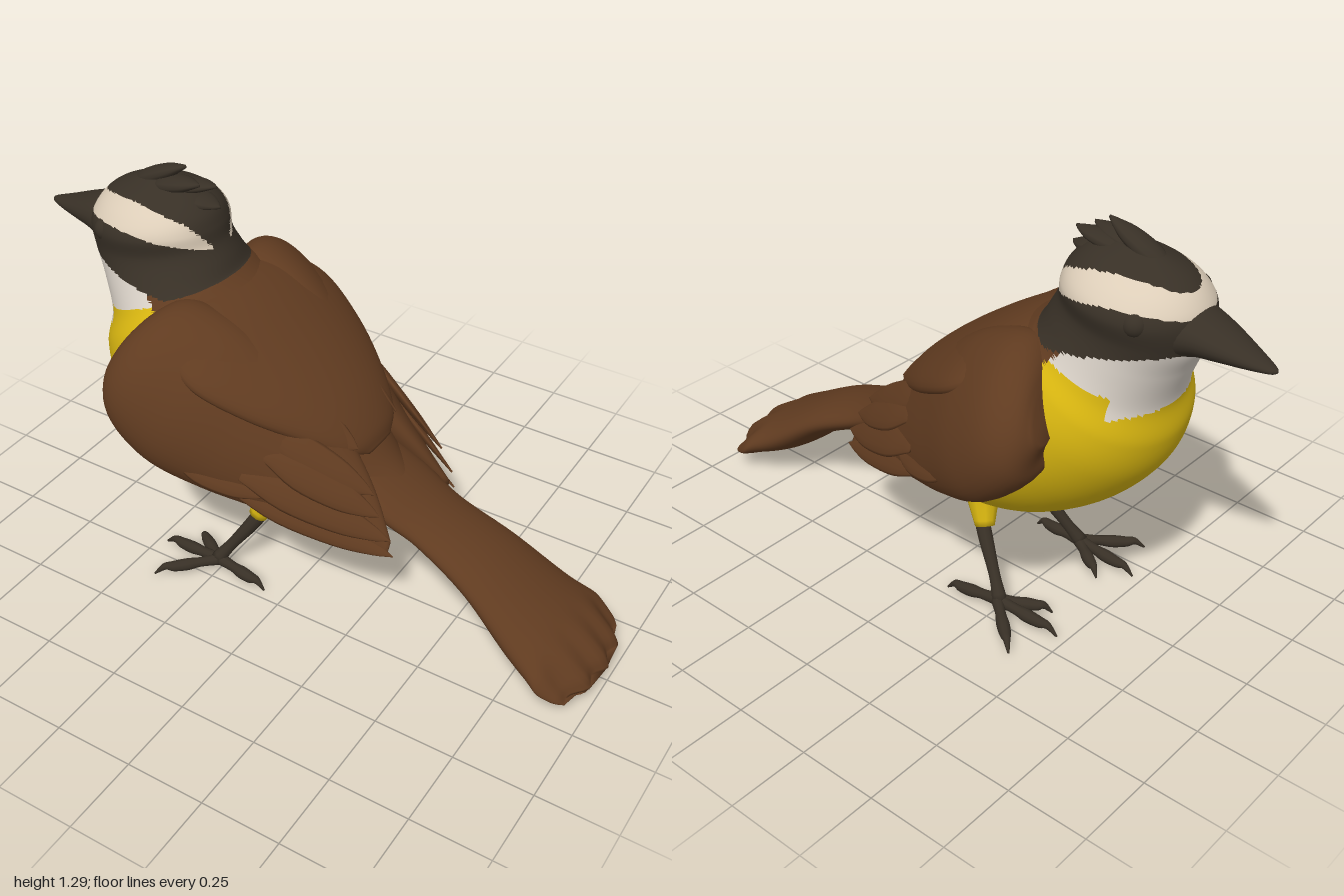
import * as THREE from 'three';

const mat = (name, color) => {
  const m = new THREE.MeshStandardMaterial({ color });
  m.name = name;
  return m;
};
const dark = mat('dark plumage', 0x383026);
const brown = mat('brown plumage', 0x603b20);
const yellow = mat('yellow belly', 0xd6b410);
const throat = mat('pale throat', 0xd8d0c6);
const brow = mat('cream brow', 0xdccdb8);
const palette = [brown, yellow, throat, dark, brow];

const V = (a) => new THREE.Vector3(...a);

// Smooth elliptical loft. Each ring is { c: centre, u: half-axis, t: half-thickness across it }.
function loft(rings, steps, sides) {
  const spline = (pts) => new THREE.CatmullRomCurve3(pts, false, 'catmullrom', 0.5);
  const C = spline(rings.map((r) => r.c));
  const U = spline(rings.map((r) => r.u));
  const W = spline(rings.map((r) => new THREE.Vector3(r.t, 0, 0)));
  const n = (rings.length - 1) * steps;
  const pos = [], idx = [];
  for (let i = 0; i <= n; i++) {
    const c = C.getPoint(i / n), u = U.getPoint(i / n);
    const v = C.getTangent(i / n).cross(u).normalize().multiplyScalar(W.getPoint(i / n).x);
    for (let j = 0; j < sides; j++) {
      const a = (j / sides) * Math.PI * 2;
      const p = c.clone().addScaledVector(u, Math.cos(a)).addScaledVector(v, Math.sin(a));
      pos.push(p.x, p.y, p.z);
    }
  }
  for (let i = 0; i < n; i++) for (let j = 0; j < sides; j++) {
    const k = (j + 1) % sides, a = i * sides + j, b = i * sides + k;
    idx.push(a, b, a + sides, b, b + sides, a + sides);
  }
  const first = C.getPoint(0), last = C.getPoint(1), e = (n + 1) * sides;
  pos.push(first.x, first.y, first.z, last.x, last.y, last.z);
  for (let j = 0; j < sides; j++) {
    const k = (j + 1) % sides;
    idx.push(e, k, j, e + 1, n * sides + j, n * sides + k);
  }
  const g = new THREE.BufferGeometry();
  g.setAttribute('position', new THREE.Float32BufferAttribute(pos, 3));
  g.setIndex(idx);
  g.computeVertexNormals();
  return g;
}

// Ring between two opposite points, optionally mirrored in z
function span(a, b, t, s = 1) {
  const A = V(a), B = V(b);
  A.z *= s; B.z *= s;
  return { c: A.clone().add(B).multiplyScalar(0.5), u: A.sub(B).multiplyScalar(0.5), t };
}

// Tapered round limb through points [x, y, z, radius]
function limb(points, s) {
  const ps = points.map(([x, y, z]) => new THREE.Vector3(x, y, z * s));
  return loft(points.map((p, i) => {
    const d = ps[Math.min(i + 1, ps.length - 1)].clone().sub(ps[Math.max(i - 1, 0)]);
    const u = d.cross(new THREE.Vector3(0.1, 0.3, 1)).normalize().multiplyScalar(p[3]);
    return { c: ps[i], u, t: p[3] };
  }), 4, 10);
}

// Flat pointed feather from p to q
function feather(p, q, width, dir, t, s = 1) {
  const P = V(p), Q = V(q), D = V(dir).normalize();
  P.z *= s; Q.z *= s; D.z *= s;
  return loft([[0, 0.4], [0.3, 1], [0.65, 0.9], [0.88, 0.45], [1, 0.03]].map(([f, w]) => (
    { c: P.clone().lerp(Q, f), u: D.clone().multiplyScalar(width * w), t: t * Math.max(w, 0.2) })), 4, 12);
}

// Move vertices by a rule
function bend(g, rule) {
  const p = g.attributes.position;
  for (let i = 0; i < p.count; i++) p.setXYZ(i, ...rule(p.getX(i), p.getY(i), p.getZ(i)));
  g.computeVertexNormals();
  return g;
}

// Plumage zone of a point on the body: index into the palette
function zone(x, y, z) {
  if (y > Math.max(1.01 - 0.14 * (x + 0.78), 0.95 + 0.3 * (x + 0.43))) {
    const low = 1.13 - 0.9 * (x + 0.6) ** 2, high = 1.195 - 1.2 * (x + 0.57) ** 2;
    const pale = y > low && y < high && (x < -0.5 || Math.abs(z + 0.01) > 0.06 + 0.7 * (y - 1.1));
    return pale ? 4 : 3;
  }
  if (y > 0.59 - 0.8 * x) return 0;
  return y > (x < -0.61 ? 0.81 : 0.87 + 0.4 * (x + 0.61)) ? 2 : 1;
}

function paint(g) {
  const p = g.attributes.position, src = g.index.array, lists = palette.map(() => []);
  for (let i = 0; i < src.length; i += 3) {
    const t = [src[i], src[i + 1], src[i + 2]];
    const mid = (f) => t.reduce((sum, k) => sum + p[f](k), 0) / 3;
    lists[zone(mid('getX'), mid('getY'), mid('getZ'))].push(...t);
  }
  g.setIndex(lists.flat());
  let start = 0;
  lists.forEach((l, i) => { g.addGroup(start, l.length, i); start += l.length; });
  return g;
}

export function createModel() {
  const bird = new THREE.Group();
  bird.name = 'bird';
  const add = (name, geo, material, parent = bird) => {
    const m = new THREE.Mesh(geo, material);
    m.name = name;
    parent.add(m);
    return m;
  };

  // Body and head: back x, y, belly x, y, half width, from vent to crown
  const profile = [
    [0.37, 0.42, 0.28, 0.32, 0.06], [0.25, 0.52, 0.14, 0.3, 0.13], [0.13, 0.68, -0.02, 0.265, 0.2],
    [0, 0.79, -0.17, 0.28, 0.275], [-0.12, 0.88, -0.36, 0.345, 0.325], [-0.2, 0.935, -0.53, 0.45, 0.325],
    [-0.26, 0.97, -0.65, 0.58, 0.305], [-0.29, 0.99, -0.695, 0.7, 0.275], [-0.3, 1.0, -0.69, 0.81, 0.235],
    [-0.315, 1.03, -0.73, 0.92, 0.203], [-0.34, 1.08, -0.77, 1.0, 0.184], [-0.35, 1.13, -0.78, 1.08, 0.192],
    [-0.37, 1.175, -0.76, 1.135, 0.163], [-0.42, 1.215, -0.71, 1.185, 0.107], [-0.5, 1.24, -0.62, 1.23, 0.035],
  ];
  const body = loft(profile.map(([a, b, c, d, w]) => span([a, b, 0], [c, d, 0], w)), 12, 80);
  bend(body, (x, y, z) => [x, y, z - 0.01 * THREE.MathUtils.smoothstep(y, 0.9, 1.1)]);
  add('bodyAndHead', paint(body), palette);

  // Mantle bridging the shoulders, drooping at its edges
  const mantle = loft([[-0.36, 0.925, 0.21, 0.03], [-0.3, 0.915, 0.32, 0.06], [-0.2, 0.865, 0.36, 0.075],
    [-0.05, 0.77, 0.305, 0.075], [0.08, 0.68, 0.22, 0.062], [0.17, 0.605, 0.14, 0.04], [0.21, 0.565, 0.06, 0.012]]
    .map(([x, y, w, t]) => span([x, y, -w], [x, y, w], t)), 8, 48);
  add('mantle', bend(mantle, (x, y, z) => [x, y - 0.35 * z * z, z]), brown);

  // Bill
  add('bill', loft([[-0.72, 1.13, 0.97, 0.11, -0.01], [-0.78, 1.115, 0.995, 0.09, -0.014], [-0.85, 1.09, 1.005, 0.07, -0.019],
    [-0.93, 1.058, 1.012, 0.042, -0.024], [-0.985, 1.038, 1.018, 0.018, -0.028], [-1, 1.031, 1.024, 0.004, -0.03]]
    .map(([x, a, b, w, z]) => span([x, a, z], [x, b, z], w)), 6, 24), dark);

  // Crest tufts
  [[[-0.66, 1.19, -0.01], [-0.46, 1.287, -0.01], 0.04, 0.024], [[-0.58, 1.21, 0], [-0.4, 1.25, 0.01], 0.045, 0.024],
    [[-0.55, 1.21, -0.01], [-0.365, 1.24, -0.025], 0.045, 0.02], [[-0.5, 1.2, -0.01], [-0.345, 1.185, -0.01], 0.05, 0.02]]
    .forEach(([p, q, w, t]) => add('crestTuft', feather(p, q, w, [0, 0, 1], t), dark));

  // Tail: broad thick blade with a scalloped end
  const tail = loft([[0.12, 0.55, 0.1, 0.03], [0.28, 0.43, 0.14, 0.05], [0.42, 0.36, 0.13, 0.05],
    [0.6, 0.28, 0.155, 0.058], [0.77, 0.17, 0.195, 0.072], [0.88, 0.118, 0.225, 0.06],
    [0.95, 0.085, 0.215, 0.038], [0.985, 0.066, 0.19, 0.012]]
    .map(([x, y, w, t]) => span([x, y, -w], [x, y, w], t)), 8, 64);
  add('tail', bend(tail, (x, y, z) => {
    const k = THREE.MathUtils.smoothstep(x, 0.82, 0.97);
    return [x + k * (0.012 * Math.cos(z * 60) - 1.1 * z * z), y - 0.15 * z * z,
      z + 0.018 * THREE.MathUtils.smoothstep(x, 0.3, 0.9)];
  }), brown);

  for (const s of [1, -1]) {
    const side = s > 0 ? 'left' : 'right';

    // Eye
    const eye = add(side + 'Eye', new THREE.SphereGeometry(0.036, 20, 14), dark);
    eye.position.set(-0.655, 1.095, 0.145 * s - 0.01);

    // Folded wing with its feather tips
    const wing = new THREE.Group();
    wing.name = side + 'Wing';
    bird.add(wing);
    add('wingShell', loft([
      span([-0.45, 0.86, 0.22], [-0.51, 0.77, 0.35], 0.05, s),
      span([-0.37, 0.95, 0.14], [-0.47, 0.665, 0.415], 0.135, s),
      span([-0.22, 0.925, 0.12], [-0.35, 0.55, 0.41], 0.142, s),
      span([-0.06, 0.825, 0.1], [-0.19, 0.475, 0.36], 0.12, s),
      span([0.1, 0.695, 0.08], [0, 0.415, 0.29], 0.088, s),
      span([0.2, 0.58, 0.1], [0.14, 0.375, 0.25], 0.055, s),
      span([0.28, 0.48, 0.13], [0.27, 0.34, 0.215], 0.03, s),
      span([0.35, 0.37, 0.17], [0.35, 0.335, 0.19], 0.01, s)], 8, 40), brown, wing);
    [[[-0.08, 0.5, 0.34], [0.37, 0.335, 0.19], 0.045], [[-0.05, 0.57, 0.345], [0.36, 0.39, 0.19], 0.05],
      [[0, 0.63, 0.295], [0.32, 0.465, 0.19], 0.05], [[-0.02, 0.69, 0.265], [0.29, 0.52, 0.17], 0.05],
      [[-0.04, 0.76, 0.2], [0.2, 0.61, 0.11], 0.06], [[-0.25, 0.6, 0.4], [0.02, 0.5, 0.325], 0.05]]
      .forEach(([p, q, w]) => add('wingFeather', feather(p, q, w, [-0.1, -0.75, 0.6], 0.014, s), brown, wing));

    // Leg: feathered thigh, bare shank, three front toes and one hind toe
    const leg = new THREE.Group();
    leg.name = side + 'Leg';
    bird.add(leg);
    add('thigh', limb([[-0.1, 0.34, 0.095, 0.06], [-0.12, 0.285, 0.113, 0.046], [-0.145, 0.225, 0.135, 0.03]], s), yellow, leg);
    add('shank', limb([[-0.12, 0.26, 0.127, 0.024], [-0.16, 0.19, 0.147, 0.023], [-0.22, 0.1, 0.177, 0.018],
      [-0.26, 0.04, 0.2, 0.024]], s), dark, leg);
    [[-0.47, 0.19], [-0.41, 0.34], [-0.39, 0.11], [-0.07, 0.22]].forEach(([x, z]) => {
      const at = (f, y, r) => [-0.25 + (x + 0.25) * f, y, 0.2 + (z - 0.2) * f, r];
      add('toe', limb([at(0, 0.04, 0.02), at(0.3, 0.036, 0.016), at(0.5, 0.032, 0.02), at(0.72, 0.03, 0.017),
        at(0.85, 0.032, 0.011), at(1, 0.008, 0.003)], s), dark, leg);
    });
  }
  return bird;
}
